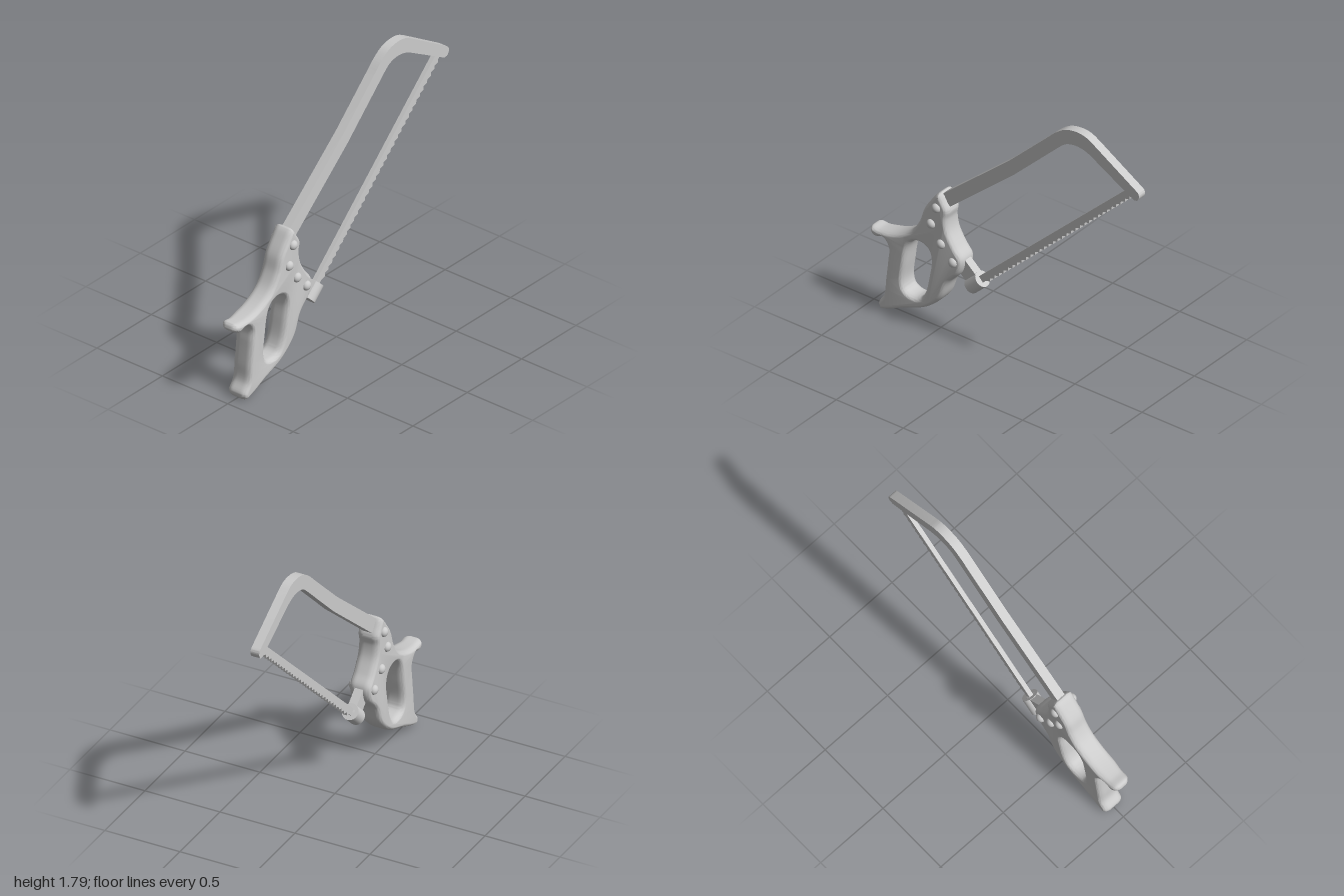
import * as THREE from 'three';
import { toCreasedNormals } from 'three/addons/utils/BufferGeometryUtils.js';

const material = new THREE.MeshStandardMaterial({ color: 0xcccccc });
const vec = ([u, y]) => new THREE.Vector2(u, y);

// Side outlines use u = -z and y; smooth closed loop through a few points
function loop(points, divisions) {
  const curve = new THREE.CatmullRomCurve3(points.map(([u, y]) => new THREE.Vector3(u, y, 0)), true);
  return curve.getPoints(divisions).slice(0, -1).map((p) => new THREE.Vector2(p.x, p.y));
}

// Extrude a side outline to a total thickness, centred on x = 0
function plate(name, shape, thickness, bevel = 0, bevelX = bevel) {
  const depth = thickness - 2 * bevelX;
  const geometry = new THREE.ExtrudeGeometry(shape, {
    depth, curveSegments: 16, bevelEnabled: bevel > 0,
    bevelSize: bevel, bevelOffset: -bevel, bevelThickness: bevelX, bevelSegments: 8,
  });
  geometry.translate(0, 0, -depth / 2);
  geometry.rotateY(Math.PI / 2);
  const mesh = new THREE.Mesh(toCreasedNormals(geometry, 0.7), material);
  mesh.name = name;
  return mesh;
}

function createHandle() {
  const shape = new THREE.Shape(loop([
    [-0.47, 0.975], [-0.43, 0.92], [-0.405, 0.87], [-0.413, 0.81], [-0.40, 0.73], [-0.35, 0.64],
    [-0.3, 0.57], [-0.315, 0.48], [-0.40, 0.38], [-0.455, 0.25], [-0.57, 0.14],
    [-0.73, 0.07], [-0.865, 0.01], [-0.905, 0.003], [-0.925, 0.04], [-0.885, 0.11],
    [-0.872, 0.22], [-0.855, 0.37], [-0.85, 0.455], [-0.885, 0.498], [-0.955, 0.482],
    [-0.999, 0.51], [-0.985, 0.545], [-0.92, 0.543], [-0.785, 0.575], [-0.68, 0.64],
    [-0.62, 0.73], [-0.585, 0.83], [-0.53, 0.915], [-0.49, 0.965],
  ], 180));
  // grip opening, wound opposite to the outline
  shape.holes.push(new THREE.Path(loop([
    [-0.61, 0.58], [-0.555, 0.56], [-0.53, 0.5], [-0.545, 0.38], [-0.575, 0.25],
    [-0.61, 0.195], [-0.665, 0.18], [-0.72, 0.2], [-0.738, 0.25], [-0.725, 0.38],
    [-0.70, 0.515], [-0.665, 0.565],
  ], 80).reverse()));
  const handle = plate('handle', shape, 0.14, 0.026, 0.045);
  // narrow the rear hook towards its tip
  const position = handle.geometry.attributes.position;
  for (let i = 0; i < position.count; i++) {
    if (position.getY(i) < 0.4) continue;
    const z = position.getZ(i);
    const taper = 0.13 * THREE.MathUtils.smoothstep(z, 0.84, 0.93) + 0.2 * THREE.MathUtils.smoothstep(z, 0.96, 1);
    position.setX(i, position.getX(i) * (1 - taper));
  }
  return handle;
}

function createFrame() {
  const shape = new THREE.Shape();
  shape.moveTo(-0.47, 0.96);
  shape.lineTo(0.03, 1.39);
  shape.lineTo(0.32, 1.67);
  shape.splineThru([[0.38, 1.727], [0.45, 1.773], [0.53, 1.79], [0.6, 1.782], [0.66, 1.752]].map(vec));
  shape.lineTo(0.972, 1.558);
  shape.splineThru([[0.995, 1.54], [1, 1.515], [0.987, 1.49], [0.962, 1.484]].map(vec));
  shape.lineTo(0.935, 1.497);
  shape.lineTo(0.635, 1.668);
  shape.splineThru([[0.585, 1.686], [0.53, 1.692], [0.48, 1.684], [0.44, 1.665], [0.4, 1.63]].map(vec));
  shape.lineTo(0.07, 1.31);
  shape.lineTo(-0.41, 0.895);
  return plate('frame', shape, 0.058);
}

function createBlade() {
  const teeth = 32;
  const start = [-0.155, 0.469];
  const du = 1.075 / teeth;
  const dy = 1.02 / teeth;
  const shape = new THREE.Shape();
  shape.moveTo(0.91, 1.539);
  shape.lineTo(-0.24, 0.448);
  shape.lineTo(-0.208, 0.418);
  shape.lineTo(...start);
  // shallow teeth along the lower edge
  for (let i = 0; i < teeth; i++) {
    shape.lineTo(start[0] + (i + 0.95) * du, start[1] + (i + 0.3) * dy);
    shape.lineTo(start[0] + (i + 1) * du, start[1] + (i + 1) * dy);
  }
  shape.lineTo(0.95, 1.515);
  return plate('blade', shape, 0.028);
}

function createClamp() {
  const group = new THREE.Group();
  group.name = 'bladeClamp';
  // bar from the handle to the clamp
  const stem = new THREE.Shape([[-0.395, 0.52], [-0.33, 0.59], [-0.19, 0.465], [-0.262, 0.39]].map(vec));
  group.add(plate('clampStem', stem, 0.055));
  // round nut lying along the blade direction
  const nut = new THREE.Mesh(new THREE.CylinderGeometry(0.052, 0.052, 0.112, 32), material);
  nut.name = 'clampNut';
  nut.position.set(0, 0.425, 0.231);
  nut.quaternion.setFromUnitVectors(new THREE.Vector3(0, 1, 0), new THREE.Vector3(0, 0.688, -0.725).normalize());
  group.add(nut);
  return group;
}

function createRivets() {
  const group = new THREE.Group();
  group.name = 'rivets';
  const geometry = new THREE.SphereGeometry(0.031, 20, 14);
  for (const [u, y] of [[-0.482, 0.877], [-0.52, 0.753], [-0.446, 0.64], [-0.358, 0.544]]) {
    for (const side of [-1, 1]) {
      const rivet = new THREE.Mesh(geometry, material);
      rivet.name = side > 0 ? 'leftRivet' : 'rightRivet';
      rivet.position.set(side * 0.068, y, -u);
      rivet.scale.x = 0.85;
      group.add(rivet);
    }
  }
  return group;
}

export function createModel() {
  const model = new THREE.Group();
  model.name = 'handSaw';
  model.add(createHandle(), createFrame(), createBlade(), createClamp(), createRivets());
  return model;
}
